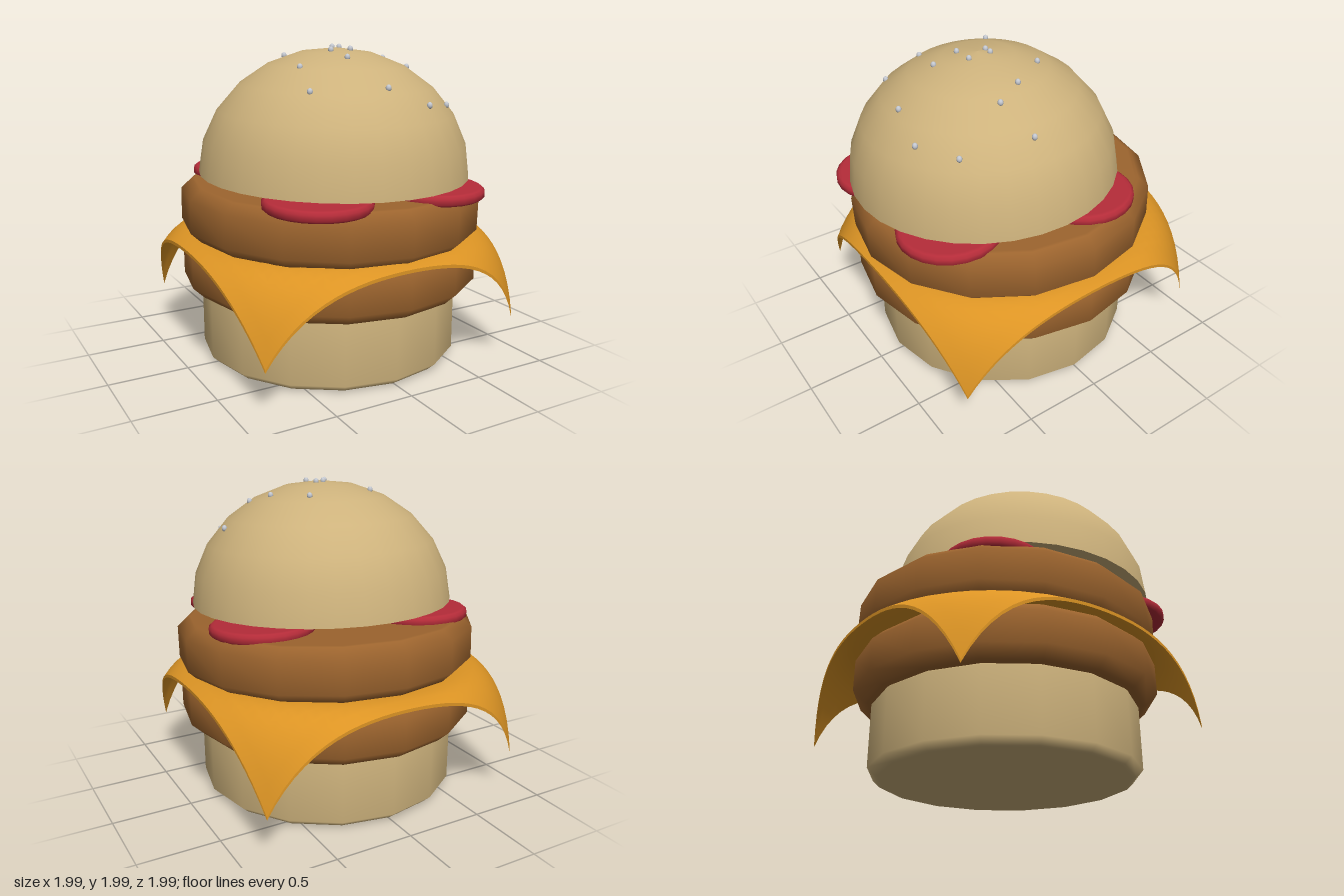
import * as THREE from 'three';

const mat = (name, color, side = THREE.FrontSide) => {
  const m = new THREE.MeshStandardMaterial({ color, side });
  m.name = name;
  return m;
};

const TILT = 0.04; // the upper layers lean forward a little

export function createModel() {
  const bread = mat('bread', 0xcdb27c);
  const meat = mat('meat', 0x9c642e);
  const cheddar = mat('cheddar', 0xdc9424, THREE.DoubleSide);
  const red = mat('tomatoRed', 0xb52c39);
  const pale = mat('seedGrey', 0xc4c8d0);

  const group = new THREE.Group();
  group.name = 'burger';

  const add = (parent, name, geometry, material, x = 0, y = 0, z = 0) => {
    const mesh = new THREE.Mesh(geometry, material);
    mesh.name = name;
    mesh.position.set(x, y, z);
    parent.add(mesh);
    return mesh;
  };

  // Round slab with bevelled rims, standing on its own y = 0
  const slab = (r, h, bevel, segments) => {
    const inner = r - bevel;
    const points = [
      [0, 0], [inner - 0.02, 0], [inner, 0.003], [r, bevel],
      [r, h - bevel], [inner, h - 0.003], [inner - 0.02, h], [0, h],
    ].map(([x, y]) => new THREE.Vector2(x, y));
    return new THREE.LatheGeometry(points, segments);
  };

  // Bottom bun and the two patties
  add(group, 'bottomBun', slab(0.835, 0.48, 0.045, 16), bread, -0.005, 0.01, 0.025);
  add(group, 'lowerPatty', slab(0.955, 0.335, 0.07, 16), meat, 0, 0.46, 0.03);
  add(group, 'upperPatty', slab(0.96, 0.33, 0.065, 16), meat, 0, 0.815, 0.03).rotation.x = TILT;

  // Cheese slice: a square sheet that sags beyond the patty rim
  const sheet = new THREE.BoxGeometry(2, 0.02, 2, 28, 1, 28);
  const p = sheet.attributes.position;
  const rim = 0.9;
  for (let i = 0; i < p.count; i++) {
    const x = p.getX(i), z = p.getZ(i);
    const r = Math.hypot(x, z);
    const e = Math.max(0, r - rim);
    const k = e > 0 ? (rim + e - 0.73 * e * e) / r : 1;
    const fall = Math.pow(e / 0.514, 1.8);
    const lean = (0.015 * x - 0.025 * z) * (1 - fall);
    p.setXYZ(i, x * k, 0.815 + p.getY(i) + lean - 0.515 * fall, z * k);
  }
  sheet.computeVertexNormals();
  add(group, 'cheeseSlice', sheet, cheddar);

  // Tomato slices
  const slice = slab(0.32, 0.07, 0.018, 24);
  for (const [x, z] of [[-0.42, 0.64], [0.37, 0.64], [-0.445, -0.365], [0.555, -0.185]]) {
    add(group, 'tomatoSlice', slice, red, x, 1.122 - 0.045 * z, z).rotation.x = TILT;
  }

  // Domed top bun
  const top = new THREE.Group();
  top.name = 'topBun';
  top.position.set(-0.03, 1.207, 0.14);
  top.rotation.x = TILT;
  group.add(top);
  const R = 0.85, H = 0.77;
  const dome = [];
  for (let i = 0; i <= 6; i++) {
    const a = (i / 6) * Math.PI / 2;
    dome.push(new THREE.Vector2(i === 6 ? 0 : R * Math.cos(a), H * Math.sin(a)));
  }
  add(top, 'bunDome', new THREE.LatheGeometry(dome, 32), bread);
  add(top, 'bunBase', new THREE.CircleGeometry(R, 32).rotateX(Math.PI / 2), bread);

  // Sesame seeds at (x, z) on the dome
  const seed = new THREE.SphereGeometry(0.017, 10, 8).scale(1, 1.2, 1);
  const spots = [
    [-0.28, -0.06], [0.185, -0.115], [-0.03, 0.105], [0.02, 0.105], [-0.12, 0.25],
    [0.015, 0.25], [0.33, 0.13], [0.61, 0.225], [0.4, 0.3], [-0.385, 0.36],
    [-0.105, 0.42], [-0.435, 0.58], [-0.01, 0.72], [0.475, 0.63], [0.245, 0.77],
  ];
  for (const [x, z] of spots) {
    const dx = x + 0.03, dz = z - 0.14 - 0.02;
    const y = H * Math.sqrt(1 - (dx * dx + dz * dz) / (R * R));
    add(top, 'sesameSeed', seed, pale, dx, y, dz);
  }
  return group;
}
